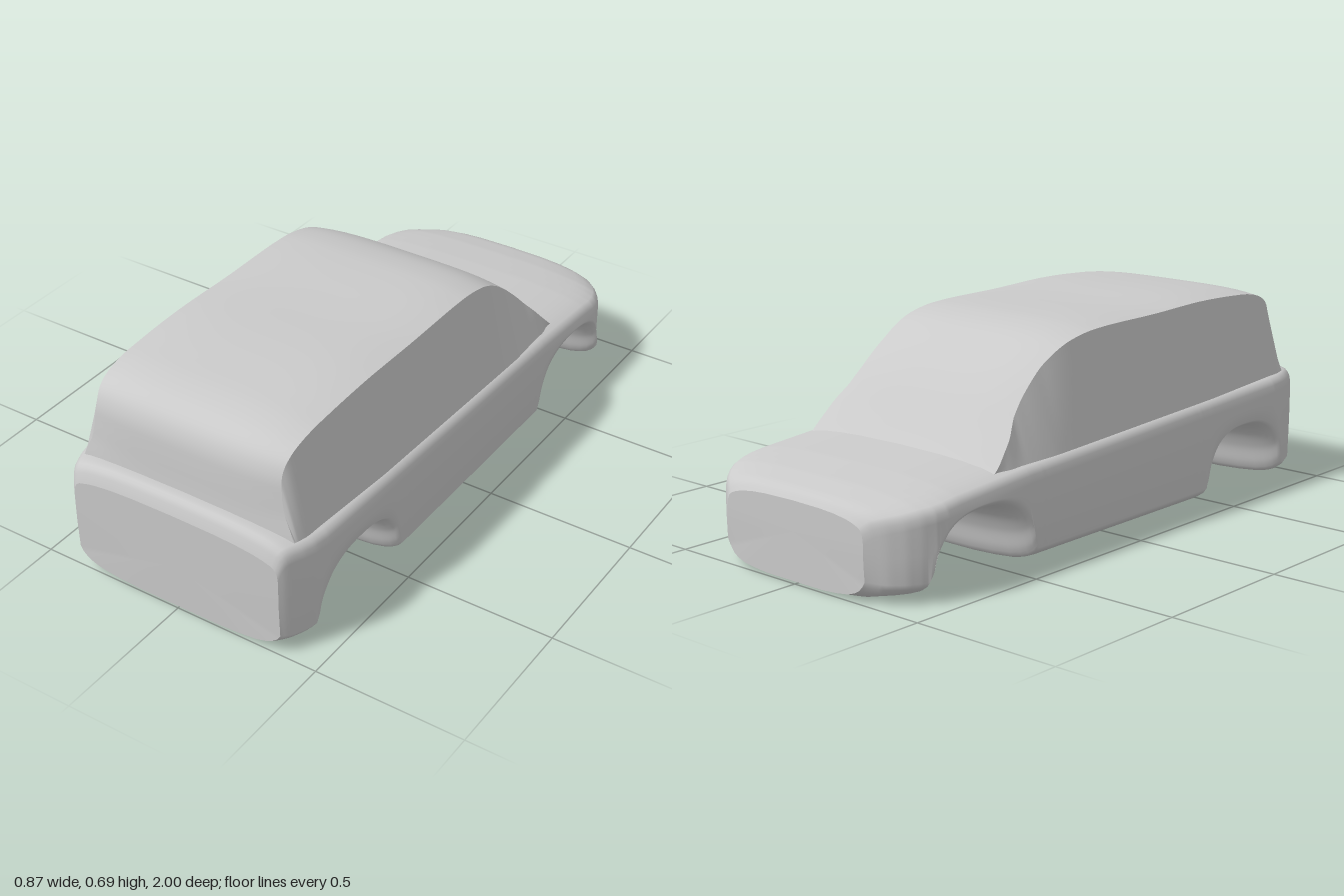
import * as THREE from 'three';

// Piecewise linear lookup in [key, value] pairs with descending keys
function lookup(table, k) {
  if (k >= table[0][0]) return table[0][1];
  for (let i = 1; i < table.length; i++) {
    const [k0, v0] = table[i - 1], [k1, v1] = table[i];
    if (k >= k1) return v0 + (v1 - v0) * (k0 - k) / (k0 - k1);
  }
  return table[table.length - 1][1];
}

// Smooth surface through rows of points
function surface(rows) {
  const n = rows[0].length, index = [];
  for (let i = 0; i < rows.length - 1; i++) {
    for (let j = 0; j < n - 1; j++) {
      const a = i * n + j, b = a + 1, c = a + n, d = c + 1;
      index.push(a, c, b, b, c, d);
    }
  }
  const g = new THREE.BufferGeometry();
  g.setAttribute('position', new THREE.Float32BufferAttribute(rows.flat(2), 3));
  g.setIndex(index);
  g.computeVertexNormals();
  return g;
}

// Flat fan closing a ring
function cap(ring, reverse) {
  const pts = [[0, 0.16, ring[0][2]], ...ring], index = [];
  for (let i = 1; i < ring.length; i++) index.push(0, reverse ? i + 1 : i, reverse ? i : i + 1);
  const g = new THREE.BufferGeometry();
  g.setAttribute('position', new THREE.Float32BufferAttribute(pts.flat(), 3));
  g.setIndex(index);
  g.computeVertexNormals();
  return g;
}

// Smooth (z, y) curve
const curve = pts => new THREE.CatmullRomCurve3(pts.map(([z, y]) => new THREE.Vector3(0, y, z)), false, 'centripetal');

// Body half width and top height along z
const WIDTH = [[1, 0.375], [0.985, 0.387], [0.96, 0.4], [0.92, 0.417], [0.88, 0.428], [0.82, 0.435],
  [0, 0.436], [-0.8, 0.435], [-0.84, 0.427], [-0.88, 0.41], [-0.92, 0.384], [-0.96, 0.345], [-1, 0.29]];
const TOP = [[1, 0.35], [0.994, 0.375], [0.985, 0.392], [0.97, 0.402], [0.95, 0.403], [-0.45, 0.343], [-0.56, 0.335],
  [-0.75, 0.321], [-0.88, 0.304], [-0.96, 0.286], [-0.985, 0.275], [-1, 0.255]];
// Cabin half width at the belt along z, and at the roof edge by height
const BELT = [[0.95, 0.385], [0.88, 0.4], [0.5, 0.411], [-0.3, 0.411], [-0.5, 0.4], [-0.6, 0.37]];
const EDGE = [[0.67, 0.345], [0.58, 0.333], [0.5, 0.34], [0.45, 0.35], [0.4, 0.375], [0.33, 0.39]];

// Underside outline with two wheel arches
function underside() {
  const half = [[0.215, 0.005], [0.2, 0.03], [0.18, 0.1], [0.14, 0.165], [0.08, 0.2]];
  const arch = c => [...half.map(([d, y]) => [c + d, y]), [c, 0.21],
    ...half.slice().reverse().map(([d, y]) => [c - d, y])];
  return curve([[1, 0.008], [0.96, 0], [0.9, 0], ...arch(0.66), [0.4, 0], [0, 0], [-0.39, 0],
    ...arch(-0.64), [-0.88, 0], [-0.96, 0], [-1, 0.008]]);
}

// One closed cross-section of the body
function bodyRing(p, tangent) {
  const w = lookup(WIDTH, p.z), top = lookup(TOP, p.z);
  const yb = Math.max(0, p.y), rise = 1 - 0.4 * yb / 0.21;
  const low = [[0, 0], [0.4, 0], [0.6, 0.004], [0.77, 0.011], [0.86, 0.02], [0.92, 0.03], [0.97, 0.045], [1, 0.062]];
  const high = [[1, 0.075], [0.99, 0.052], [0.97, 0.038], [0.94, 0.029], [0.86, 0.02],
    [0.77, 0.013], [0.6, 0.006], [0.4, 0.002], [0, 0]];
  const half = low.map(([f, d]) => [f * w, yb + d * rise, p.z + tangent.y * d * 0.3]);
  const foot = half[half.length - 1][1], shoulder = top - 0.075;
  half.push([w, foot + (shoulder - foot) * 0.5, p.z]);
  high.forEach(([f, d]) => half.push([f * w, top - d, p.z]));
  const mirror = half.slice(0, -1).reverse().map(([x, y, z]) => [-x, y, z]);
  return [...half, ...mirror];
}

export function createModel() {
  const model = new THREE.Group();
  const paint = new THREE.MeshStandardMaterial({ color: 0xcacaca });
  paint.name = 'grey paint';
  const add = (name, geometry, parent) => {
    const mesh = new THREE.Mesh(geometry, paint);
    mesh.name = name;
    parent.add(mesh);
  };

  // Lower body
  const body = new THREE.Group();
  body.name = 'lowerBody';
  model.add(body);
  const under = underside(), rings = [], N = 260;
  for (let i = 0; i <= N; i++) rings.push(bodyRing(under.getPointAt(i / N), under.getTangentAt(i / N)));
  add('bodyShell', surface(rings), body);
  add('frontFace', cap(rings[0], false), body);
  add('backFace', cap(rings[N], true), body);

  // Cabin: crowned roof skin and side panels ruled down to the belt
  const cabin = new THREE.Group();
  cabin.name = 'cabin';
  model.add(cabin);
  const outline = curve([[0.947, 0.37], [0.941, 0.43], [0.935, 0.51], [0.927, 0.57], [0.905, 0.617], [0.865, 0.648],
    [0.79, 0.67], [0.68, 0.68], [0.5, 0.686], [0.25, 0.68], [0, 0.678], [-0.1, 0.67], [-0.2, 0.645], [-0.3, 0.59],
    [-0.4, 0.505], [-0.5, 0.395], [-0.56, 0.332], [-0.585, 0.31]]);
  const roof = [], left = [], right = [], M = 100, S = 16, SIDE = 8;
  for (let i = 0; i <= M; i++) {
    const p = outline.getPointAt(i / M), t = outline.getTangentAt(i / M);
    const nz = t.y, ny = -t.z, crown = 0.015;
    const ez = p.z - nz * crown, ey = p.y - ny * crown;
    const w = lookup(EDGE, ey), baseX = lookup(BELT, ez), baseY = Math.min(ey, lookup(TOP, ez) - 0.036);
    const row = [], side = [];
    for (let j = 0; j <= S; j++) {
      const u = 1 - 2 * j / S, k = crown * (1 - u ** 4);
      row.push([u * w, ey + ny * k, ez + nz * k]);
    }
    for (let j = 0; j <= SIDE; j++) {
      const s = j / SIDE;
      side.push([baseX + (w - baseX) * s, baseY + (ey - baseY) * s, ez]);
    }
    roof.push(row);
    left.push(side);
    right.push(side.slice().reverse().map(([x, y, z]) => [-x, y, z]));
  }
  add('roofAndWindscreens', surface(roof), cabin);
  add('leftCabinSide', surface(left), cabin);
  add('rightCabinSide', surface(right), cabin);

  return model;
}
